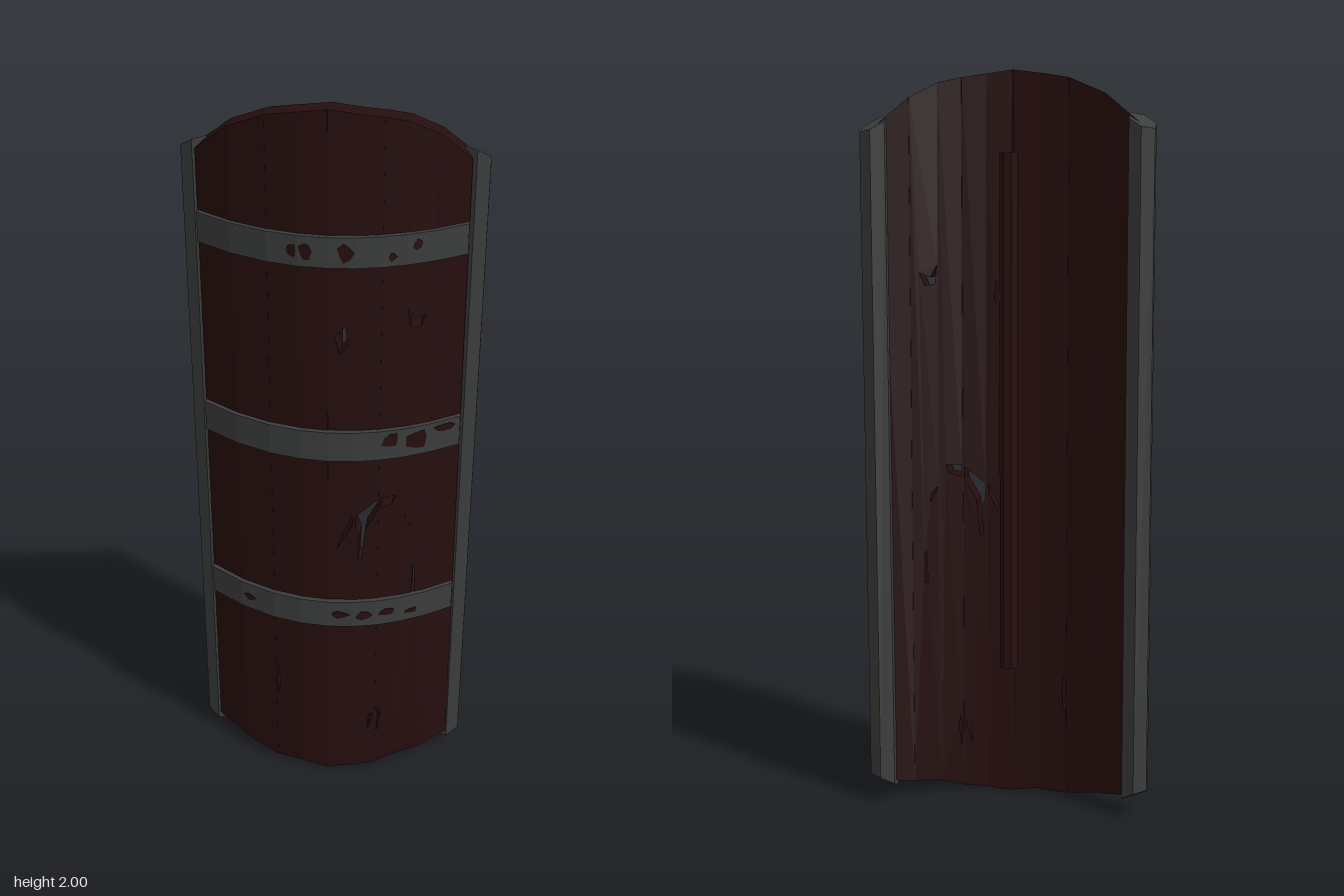
import * as THREE from 'three';

const wood = new THREE.MeshStandardMaterial({ name: 'dark red wood', color: 0x260e0e });
const iron = new THREE.MeshStandardMaterial({ name: 'dark iron', color: 0x3b3c3c });
const openWood = wood.clone();
openWood.side = THREE.DoubleSide;

// Plank seams across the curved board, and the height of the board at each seam
const seams = [-0.345, -0.25, -0.15, -0.07, 0.005, 0.075, 0.14, 0.2, 0.27, 0.345];
const tops = [1.85, 1.93, 1.975, 1.99, 2.0, 1.99, 1.98, 1.965, 1.925, 1.85];
const bottoms = [0.06, 0.035, 0.012, 0.012, 0.0, 0.008, 0.015, 0.035, 0.04, 0.06];

// Piecewise straight bow of the front surface
const curve = x => 0.103 - 1.15 * x * x;
function bow(x) {
  let i = 0;
  while (i < seams.length - 2 && x > seams[i + 1]) i++;
  const t = (x - seams[i]) / (seams[i + 1] - seams[i]);
  return THREE.MathUtils.lerp(curve(seams[i]), curve(seams[i + 1]), t);
}

const toPoints = list => list.map(p => new THREE.Vector2(p[0], p[1]));

// Flat outline extruded backwards, then bent to follow the bow
function plate(name, outline, holes, front, depth, material) {
  const shape = new THREE.Shape(toPoints(outline));
  holes.forEach(h => shape.holes.push(new THREE.Path(toPoints(h))));
  const geo = new THREE.ExtrudeGeometry(shape, { depth, bevelEnabled: false });
  const pos = geo.attributes.position;
  for (let i = 0; i < pos.count; i++) {
    pos.setZ(i, pos.getZ(i) - depth + front + bow(pos.getX(i)));
  }
  geo.computeVertexNormals();
  const mesh = new THREE.Mesh(geo, material);
  mesh.name = name;
  return mesh;
}

// Battle damage, keyed by plank index
const damage = {
  2: [[[-0.148, 0.25], [-0.14, 0.26], [-0.141, 0.35], [-0.147, 0.34]]],
  4: [
    [[0.022, 1.42], [0.05, 1.445], [0.055, 1.39], [0.035, 1.37]],
    [[0.03, 0.78], [0.045, 0.83], [0.072, 0.885], [0.07, 0.855]],
  ],
  5: [
    [[0.08, 0.845], [0.08, 0.885], [0.136, 0.932], [0.136, 0.895], [0.105, 0.84], [0.096, 0.74], [0.087, 0.75], [0.09, 0.82]],
    [[0.118, 0.14], [0.135, 0.2], [0.122, 0.2]],
  ],
  6: [
    [[0.144, 0.905], [0.144, 0.937], [0.185, 0.94], [0.175, 0.915]],
    [[0.145, 0.13], [0.155, 0.2], [0.147, 0.22]],
  ],
  7: [
    [[0.204, 1.485], [0.222, 1.452], [0.248, 1.465], [0.235, 1.43], [0.21, 1.435]],
    [[0.232, 0.61], [0.24, 0.61], [0.24, 0.69], [0.235, 0.7]],
    [[0.205, 0.88], [0.212, 0.86], [0.225, 0.835], [0.222, 0.86]],
  ],
};

// Worn spots on the bands: centre x, centre y, half width, half height
const wornSpots = [
  [-0.085, 1.65, 0.014, 0.022], [-0.05, 1.65, 0.018, 0.028], [0.05, 1.65, 0.024, 0.028],
  [0.165, 1.635, 0.014, 0.012], [0.225, 1.66, 0.015, 0.016],
  [0.17, 1.12, 0.026, 0.025], [0.235, 1.11, 0.033, 0.034], [0.305, 1.13, 0.03, 0.014],
  [-0.225, 0.57, 0.02, 0.012], [0.04, 0.57, 0.032, 0.013], [0.107, 0.565, 0.03, 0.016],
  [0.17, 0.57, 0.028, 0.014], [0.235, 0.56, 0.02, 0.01],
];

// Six-sided edge rail with a slanted top and bottom
function rail(side) {
  const geo = new THREE.CylinderGeometry(0.039, 0.039, 1.8, 6, 1).toNonIndexed();
  geo.scale(1, 1, 1.12);
  const pos = geo.attributes.position;
  for (let i = 0; i < pos.count; i++) {
    const x = pos.getX(i), z = pos.getZ(i);
    const slant = 0.4 * (z - side * x);
    pos.setY(i, pos.getY(i) + Math.sign(pos.getY(i)) * slant);
  }
  geo.computeVertexNormals();
  const mesh = new THREE.Mesh(geo, iron);
  mesh.name = side > 0 ? 'leftRail' : 'rightRail';
  mesh.position.set(side * 0.352, 0.955, -0.078);
  mesh.rotation.z = side > 0 ? -0.004 : 0;
  return mesh;
}

export function createModel() {
  const model = new THREE.Group();
  model.name = 'curvedShield';

  // Curved wooden board made of planks, each set very slightly in or out
  const board = new THREE.Group();
  board.name = 'board';
  for (let i = 0; i < seams.length - 1; i++) {
    const a = seams[i], b = seams[i + 1];
    const outline = [[a, bottoms[i]], [b, bottoms[i + 1]], [b, tops[i + 1]], [a, tops[i]]];
    board.add(plate('plank', outline, damage[i] || [], i % 2 ? 0.002 : 0, 0.064, wood));
  }
  model.add(board);

  // Three iron bands across the front
  for (const [low, high] of [[1.61, 1.69], [1.065, 1.15], [0.53, 0.612]]) {
    const band = new THREE.Group();
    band.name = 'band';
    for (let i = 0; i < seams.length - 1; i++) {
      const a = seams[i], b = seams[i + 1];
      band.add(plate('bandSection', [[a, low], [b, low], [b, high], [a, high]], [], 0.017, 0.016, iron));
    }
    model.add(band);
  }

  // Worn spots showing wood colour
  wornSpots.forEach(([x, y, w, h], n) => {
    const outline = [];
    for (let k = 0; k < 7; k++) {
      const t = k / 7 * Math.PI * 2, r = 0.82 + 0.18 * Math.sin(k * 2.3 + n);
      outline.push([x + Math.cos(t) * w * r, y + Math.sin(t) * h * r]);
    }
    model.add(plate('wornSpot', outline, [], 0.019, 0.004, wood));
  });

  // Edge rails
  model.add(rail(1), rail(-1));

  // Upright hollow grip behind the board
  const gripGeo = new THREE.CylinderGeometry(0.025, 0.025, 1.4, 7, 1, true).toNonIndexed();
  gripGeo.computeVertexNormals();
  const grip = new THREE.Mesh(gripGeo, openWood);
  grip.name = 'grip';
  grip.position.set(0.005, 1.08, -0.02);
  model.add(grip);

  return model;
}
